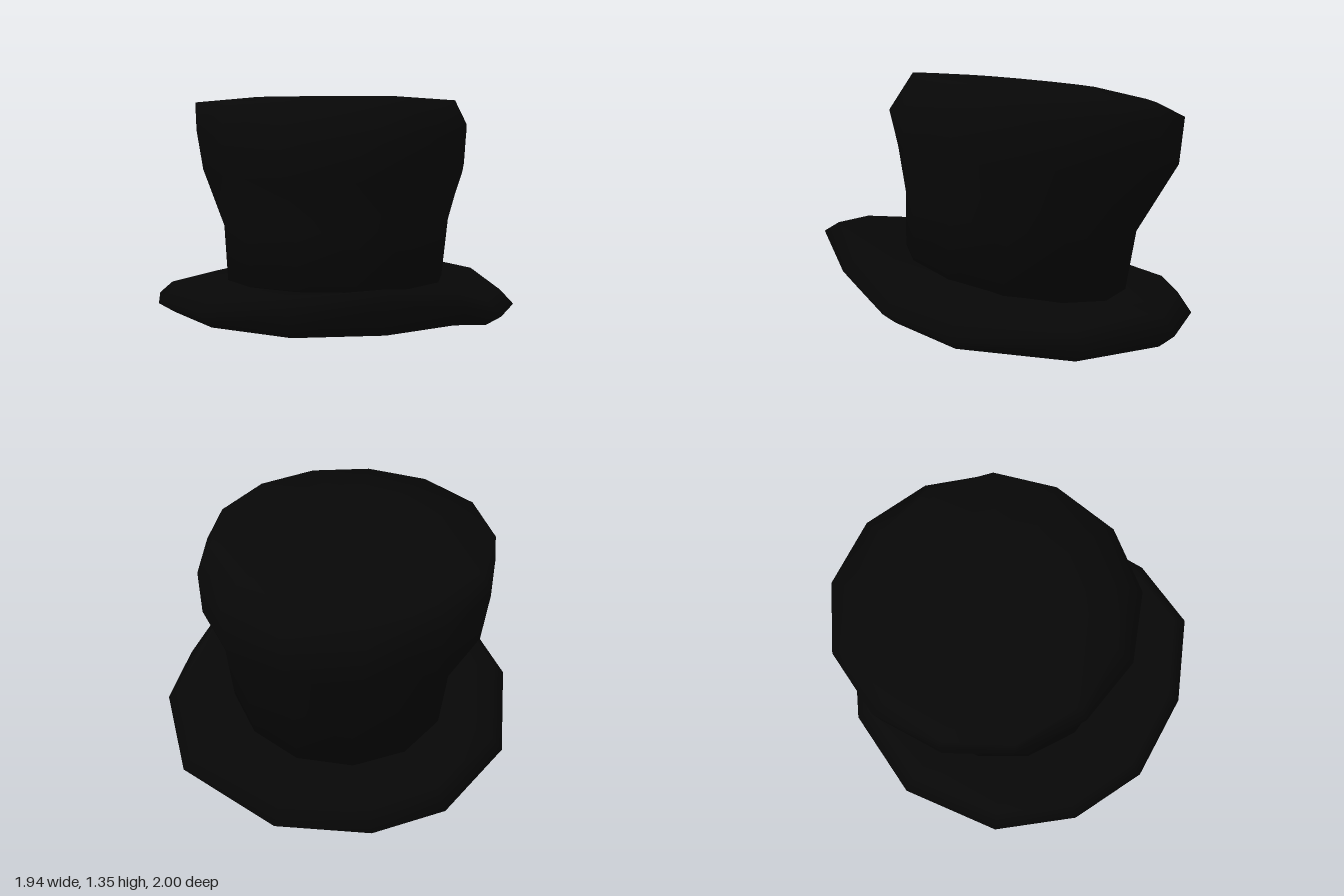
import * as THREE from 'three';

const felt = new THREE.MeshStandardMaterial({ color: 0x070707 });
felt.name = 'blackFelt';

// Smooth closed skin through rings listed bottom to top, capped at both ends
function loft(name, rings, bottom, top) {
  const n = rings[0].length;
  const pos = [...rings.flat(2), ...bottom, ...top];
  const index = [];
  const b = rings.length * n, t = b + 1;
  for (let i = 0; i < n; i++) {
    const k = (i + 1) % n;
    for (let j = 0; j < rings.length - 1; j++) {
      const lo = j * n, hi = lo + n;
      index.push(lo + i, hi + i, lo + k, hi + i, hi + k, lo + k);
    }
    const last = (rings.length - 1) * n;
    index.push(b, i, k, t, last + k, last + i);
  }
  const g = new THREE.BufferGeometry();
  g.setAttribute('position', new THREE.Float32BufferAttribute(pos, 3));
  g.setIndex(index);
  g.computeVertexNormals();
  const mesh = new THREE.Mesh(g, felt);
  mesh.name = name;
  return mesh;
}

// Brim rim: x, z, then heights of the lower, outer and upper edge
const RIM = [
  [-0.2, -1, 0.01, 0.08, 0.19],
  [0.4, -0.96, 0.06, 0.14, 0.21],
  [0.84, -0.56, 0.115, 0.18, 0.26],
  [0.96, -0.2, 0.18, 0.24, 0.31],
  [0.97, 0.15, 0.28, 0.38, 0.45],
  [0.84, 0.58, 0.32, 0.5, 0.545],
  [0.47, 0.87, 0.3, 0.45, 0.5],
  [0.02, 1, 0.28, 0.37, 0.42],
  [-0.4, 0.91, 0.24, 0.3, 0.36],
  [-0.76, 0.63, 0.134, 0.2, 0.265],
  [-0.97, 0.09, 0.025, 0.09, 0.165],
  [-0.88, -0.46, 0.01, 0.06, 0.16],
  [-0.63, -0.78, 0.0, 0.06, 0.17],
];

// Crown rings: centre x, centre z, radius, diagonal stretch, centre height, rise
const CROWN = [
  [-0.01, -0.03, 0.61, 0, 0.26, 0.08],
  [-0.025, -0.06, 0.635, 0, 0.61, 0.07],
  [-0.09, -0.12, 0.75, 0.01, 0.92, 0.03],
  [-0.09, -0.105, 0.775, 0.02, 1.14, 0.01],
  [-0.11, -0.07, 0.69, -0.03, 1.275, 0.055],
  [-0.1, -0.04, 0.38, 0, 1.305, 0.025],
];

export function createModel() {
  const hat = new THREE.Group();
  hat.name = 'topHat';

  // Brim, curled up at the front left, with a dished upper side
  const rimRing = (scale, h) => RIM.map((p) => [p[0] * scale, p[h], p[1] * scale]);
  const innerRing = (scale, y, sx, sz) => RIM.map(([x, z]) =>
    [x * scale, Math.max(0.01, y + scale * (sx * x + sz * z)), z * scale]);
  hat.add(loft('brim', [
    innerRing(0.65, 0.135, 0.16, 0.16),
    rimRing(0.92, 2), rimRing(1, 3), rimRing(0.925, 4),
    innerRing(0.62, 0.3, 0.12, 0.14),
  ], [0, 0.135, 0], [0, 0.3, 0]));

  // Flared crown, leaning back and to the right
  const sides = 13;
  const rings = CROWN.map(([cx, cz, radius, stretch, y, rise]) =>
    Array.from({ length: sides }, (_, i) => {
      const a = (i / sides) * Math.PI * 2 - 1.72;
      const c = Math.cos(a), s = Math.sin(a);
      const r = radius + stretch * Math.sin(2 * a);
      return [cx + r * c, y + rise * (c + s), cz + r * s];
    }));
  hat.add(loft('crown', rings, [0, 0.26, 0], [-0.08, 1.31, -0.03]));

  return hat;
}
